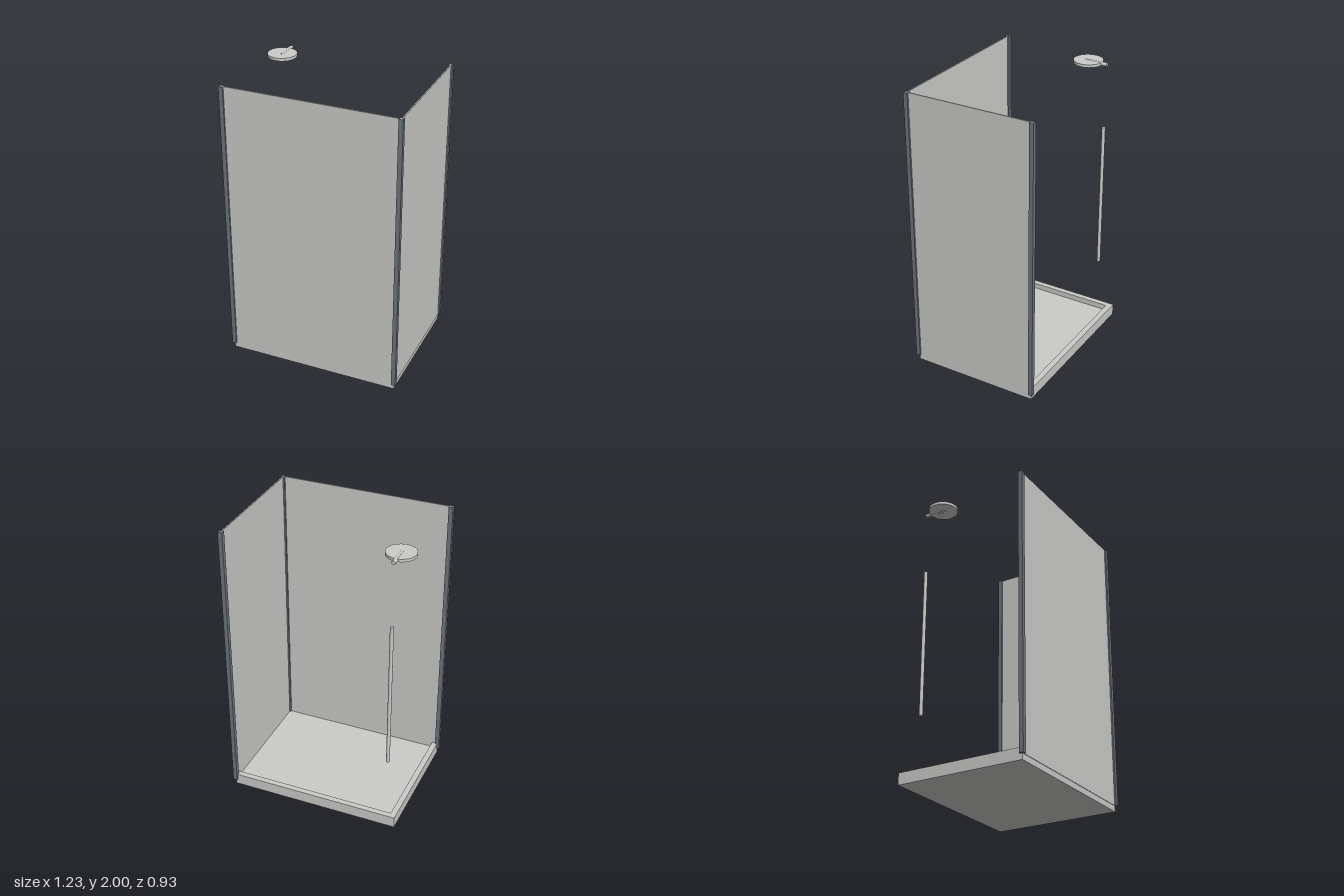
import * as THREE from 'three';

export function createModel() {
  const group = new THREE.Group();
  group.name = 'cornerShower';

  const lightGrey = new THREE.MeshStandardMaterial({ color: 0xcbcbc9 });
  lightGrey.name = 'lightGrey';
  const slateGrey = new THREE.MeshStandardMaterial({ color: 0x6f767d });
  slateGrey.name = 'slateGrey';

  const add = (name, geometry, material, x, y, z) => {
    const mesh = new THREE.Mesh(geometry, material);
    mesh.name = name;
    mesh.position.set(x, y, z);
    group.add(mesh);
    return mesh;
  };
  const box = (name, w, h, d, material, x, y, z) =>
    add(name, new THREE.BoxGeometry(w, h, d), material, x, y, z);

  const W = 1.2, D = 0.9, floorY = 0.04, top = 2;
  const wallH = top - floorY, wallY = (top + floorY) / 2;

  // Tray: floor slab with raised rims on the two sides without glass
  box('trayFloor', W, floorY, D, lightGrey, 0, floorY / 2, 0);
  box('trayBackRim', W, 0.04, 0.04, lightGrey, 0, 0.06, -D / 2 + 0.02);
  box('trayRightRim', 0.04, 0.04, D - 0.04, lightGrey, -W / 2 + 0.02, 0.06, 0.02);

  // Glass panels
  box('frontPanel', W, wallH, 0.008, lightGrey, 0, wallY, D / 2);
  box('leftPanel', 0.008, wallH, D, lightGrey, W / 2, wallY, 0);

  // Corner posts
  for (const [name, sx, sz] of [
    ['frontRightPost', -1, 1], ['frontLeftPost', 1, 1], ['backLeftPost', 1, -1],
  ]) box(name, 0.03, wallH, 0.03, slateGrey, sx * W / 2, wallY, sz * D / 2);

  // Shower head, its arm and the riser rail
  const headX = -0.51;
  add('showerHead', new THREE.CylinderGeometry(0.1, 0.1, 0.02, 48), lightGrey, headX, 1.975, -0.23);
  add('showerArm', new THREE.CylinderGeometry(0.0135, 0.0135, 0.16, 20), lightGrey, headX, 1.975, -0.29)
    .rotation.x = Math.PI / 2;
  add('riserRail', new THREE.CylinderGeometry(0.0125, 0.0125, 1.05, 20), lightGrey, headX, 1, -0.36);

  return group;
}
